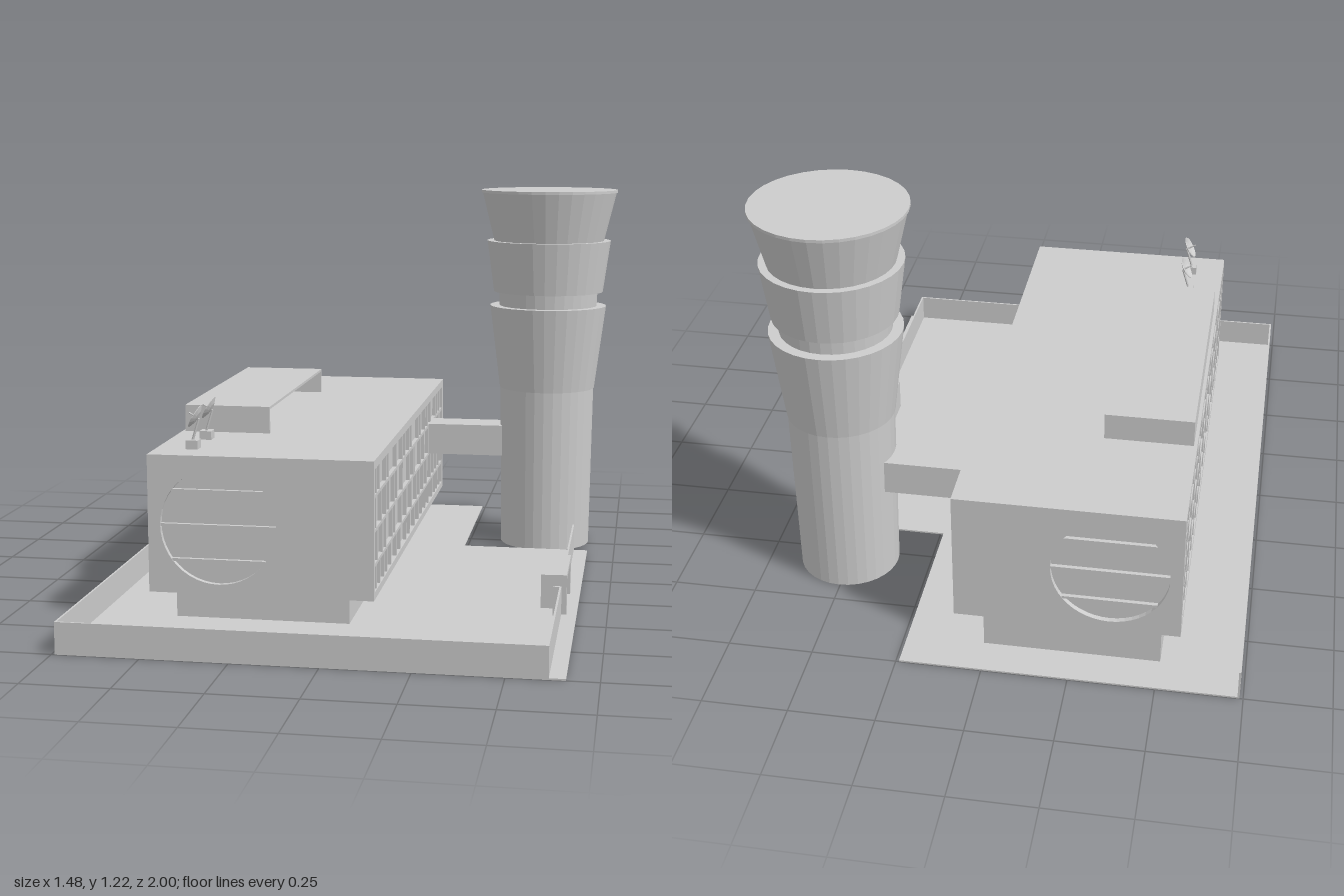
import * as THREE from 'three';

const concrete = new THREE.MeshStandardMaterial({ color: 0xcccccc, flatShading: true });
concrete.name = 'paleGrey';

function add(parent, name, geometry) {
  const mesh = new THREE.Mesh(geometry, concrete);
  mesh.name = name;
  parent.add(mesh);
  return mesh;
}

// Box given by its limits on each axis
function box(parent, name, x0, x1, y0, y1, z0, z1) {
  const mesh = add(parent, name, new THREE.BoxGeometry(x1 - x0, y1 - y0, z1 - z0));
  mesh.position.set((x0 + x1) / 2, (y0 + y1) / 2, (z0 + z1) / 2);
  return mesh;
}

function rect(ShapeType, x0, x1, y0, y1) {
  const p = [[x0, y0], [x1, y0], [x1, y1], [x0, y1]];
  return new ShapeType(p.map(([x, y]) => new THREE.Vector2(x, y)));
}

function group(parent, name) {
  const g = new THREE.Group();
  g.name = name;
  parent.add(g);
  return g;
}

function buildSite(root) {
  const site = group(root, 'site');
  // Ground slab with the notch beside the tower
  const outline = [[-0.74, 1], [-0.74, -1], [0.24, -1], [0.24, -0.38], [0.66, -0.38], [0.66, 1]];
  const shape = new THREE.Shape(outline.map(([x, z]) => new THREE.Vector2(x, -z)));
  const slab = new THREE.ExtrudeGeometry(shape, { depth: 0.005, bevelEnabled: false });
  add(site, 'groundSlab', slab.rotateX(-Math.PI / 2));

  // Perimeter walls, open at the back
  const t = 0.006, h = 0.093;
  box(site, 'leftWall', -0.74, -0.74 + t, 0, h, -1, 1);
  box(site, 'frontWall', -0.74 + t, 0.615, 0, h, 1 - t, 1);
  box(site, 'streetWallFront', 0.615 - t, 0.615, 0, h, 0.42, 1 - t);
  box(site, 'streetWallRear', 0.615 - t, 0.615, 0, h, -0.38, 0.15);

  // Gate portal with a small booth behind it
  const gate = group(site, 'gate');
  for (const z of [0.16, 0.385]) box(gate, 'gatePier', 0.595, 0.63, 0, 0.125, z, z + 0.02);
  box(gate, 'gateLintel', 0.595, 0.63, 0.11, 0.125, 0.18, 0.385);
  box(gate, 'gateBooth', 0.55, 0.605, 0, 0.108, 0.24, 0.345);
  for (const z of [0.148, 0.412]) box(gate, 'wallEnd', 0.59, 0.615, 0, h, z, z + 0.008);
}

const X0 = -0.56, X1 = 0.1, Y0 = 0.103, Y1 = 0.508, Z0 = -0.885, Z1 = 0.695;
const D = 0.016; // window recess

function buildHall(root) {
  const hall = group(root, 'mainHall');
  box(hall, 'plinth', -0.505, 0.012, 0, Y0, Z0, 0.6);
  box(hall, 'hallEntrance', 0.012, 0.028, 0, Y0, -0.215, 0.01);
  box(hall, 'glazedCore', X0 + D, X1 - D, Y0, Y1, Z0 + D, Z1 - D);

  // Long facades: frame, floor rails and staggered mullions
  const rows = [
    [0.125, 0.2, [0.63, 0.57, 0.5, 0.44, 0.36, 0.25, 0.17, 0.04, -0.04, -0.155, -0.25, -0.33, -0.42, -0.5, -0.6, -0.68, -0.74, -0.81]],
    [0.2, 0.3, [0.615, 0.52, 0.46, 0.33, 0.28, 0.145, 0.04, -0.075, -0.2, -0.27, -0.36, -0.45, -0.56, -0.64, -0.71, -0.78]],
    [0.3, 0.4, [0.64, 0.545, 0.46, 0.4, 0.29, 0.24, 0.12, -0.03, -0.12, -0.15, -0.29, -0.38, -0.49, -0.58, -0.7, -0.76, -0.81]],
    [0.4, 0.482, [0.63, 0.58, 0.46, 0.41, 0.25, 0.13, 0.07, -0.02, -0.075, -0.24, -0.29, -0.4, -0.47, -0.55, -0.69, -0.73, -0.79]],
  ];
  const side = rect(THREE.Shape, -Z1, -Z0, Y0, Y1);
  side.holes.push(rect(THREE.Path, -0.675, 0.86, 0.125, 0.482));
  const sideFrame = new THREE.ExtrudeGeometry(side, { depth: D, bevelEnabled: false }).rotateY(Math.PI / 2);
  for (const x of [X0, X1 - D]) {
    const facade = group(hall, x === X0 ? 'leftHandFacade' : 'towerSideFacade');
    add(facade, 'facadeFrame', sideFrame).position.x = x;
    const a = x + 0.002, b = x + D - 0.002;
    for (const [y0, y1, mullions] of rows) {
      if (y0 > 0.125) box(facade, 'floorRail', a, b, y0 - 0.005, y0 + 0.005, -0.86, 0.675);
      for (const z of mullions) box(facade, 'mullion', a, b, y0, y1, z - 0.005, z + 0.005);
    }
  }

  // End walls: round window with three bars
  const cx = -0.353, cy = 0.303, r = 0.171;
  const end = rect(THREE.Shape, X0 + D, X1 - D, Y0, Y1);
  const hole = new THREE.Path();
  hole.absarc(cx, cy, r, 0, Math.PI * 2, true);
  end.holes.push(hole);
  const endFrame = new THREE.ExtrudeGeometry(end, { depth: D, bevelEnabled: false, curveSegments: 24 });
  for (const z of [Z0, Z1 - D]) {
    const wall = group(hall, z === Z0 ? 'backEnd' : 'frontEnd');
    add(wall, 'endFrame', endFrame).position.z = z;
    for (const dy of [-0.102, 0, 0.102]) {
      const w = Math.sqrt(r * r - dy * dy);
      box(wall, 'windowBar', cx - w, cx + w, cy + dy - 0.004, cy + dy + 0.004, z + 0.002, z + D - 0.002);
    }
  }

  // Roof canopy, open towards the tower
  const canopy = group(hall, 'roofCanopy');
  box(canopy, 'canopyTop', -0.55, -0.285, 0.582, 0.59, -0.51, 0.315);
  box(canopy, 'canopyBack', -0.55, -0.542, Y1, 0.582, -0.51, 0.315);
  for (const z of [-0.51, 0.307]) box(canopy, 'canopyEnd', -0.542, -0.285, Y1, 0.582, z, z + 0.008);

  box(root, 'footbridge', X1, 0.37, 0.305, 0.41, -0.6, -0.48);
}

function buildDish(root, z) {
  const dish = group(root, 'satelliteDish');
  dish.position.set(-0.452, Y1, z);
  box(dish, 'dishPedestal', -0.018, 0.018, 0, 0.026, -0.018, 0.018);
  const mast = add(dish, 'dishMast', new THREE.CylinderGeometry(0.004, 0.004, 0.07, 6));
  mast.position.set(0.008, 0.055, 0);
  mast.rotation.z = -0.3;
  // Shallow bowl tilted up and outward, with its feed
  const head = group(dish, 'dishHead');
  head.position.set(0.016, 0.09, 0);
  head.rotation.z = 1.05;
  const profile = [[0, 0], [0.02, 0.003], [0.037, 0.01], [0.036, 0.012], [0.02, 0.006], [0, 0.003]];
  add(head, 'dishBowl', new THREE.LatheGeometry(profile.map(([x, y]) => new THREE.Vector2(x, y)), 16));
  add(head, 'dishFeed', new THREE.CylinderGeometry(0.002, 0.003, 0.03, 6)).position.y = 0.016;
}

function buildTower(root) {
  const tower = group(root, 'controlTower');
  tower.position.set(0.505, 0, -0.53);
  // name, bottom y, top y, bottom radius, top radius
  const tiers = [
    ['towerShaft', 0, 0.545, 0.152, 0.16],
    ['lowerTier', 0.545, 0.828, 0.162, 0.198],
    ['towerNeck', 0.828, 0.876, 0.166, 0.168],
    ['middleTier', 0.876, 1.05, 0.186, 0.21],
    ['controlCab', 1.05, 1.213, 0.187, 0.227],
    ['cabRoof', 1.213, 1.222, 0.231, 0.231],
  ];
  for (const [name, y0, y1, r0, r1] of tiers) {
    add(tower, name, new THREE.CylinderGeometry(r1, r0, y1 - y0, 32)).position.y = (y0 + y1) / 2;
  }
}

export function createModel() {
  const root = new THREE.Group();
  root.name = 'airportTerminal';
  buildSite(root);
  buildHall(root);
  for (const z of [0.43, 0.585]) buildDish(root, z);
  buildTower(root);
  return root;
}
